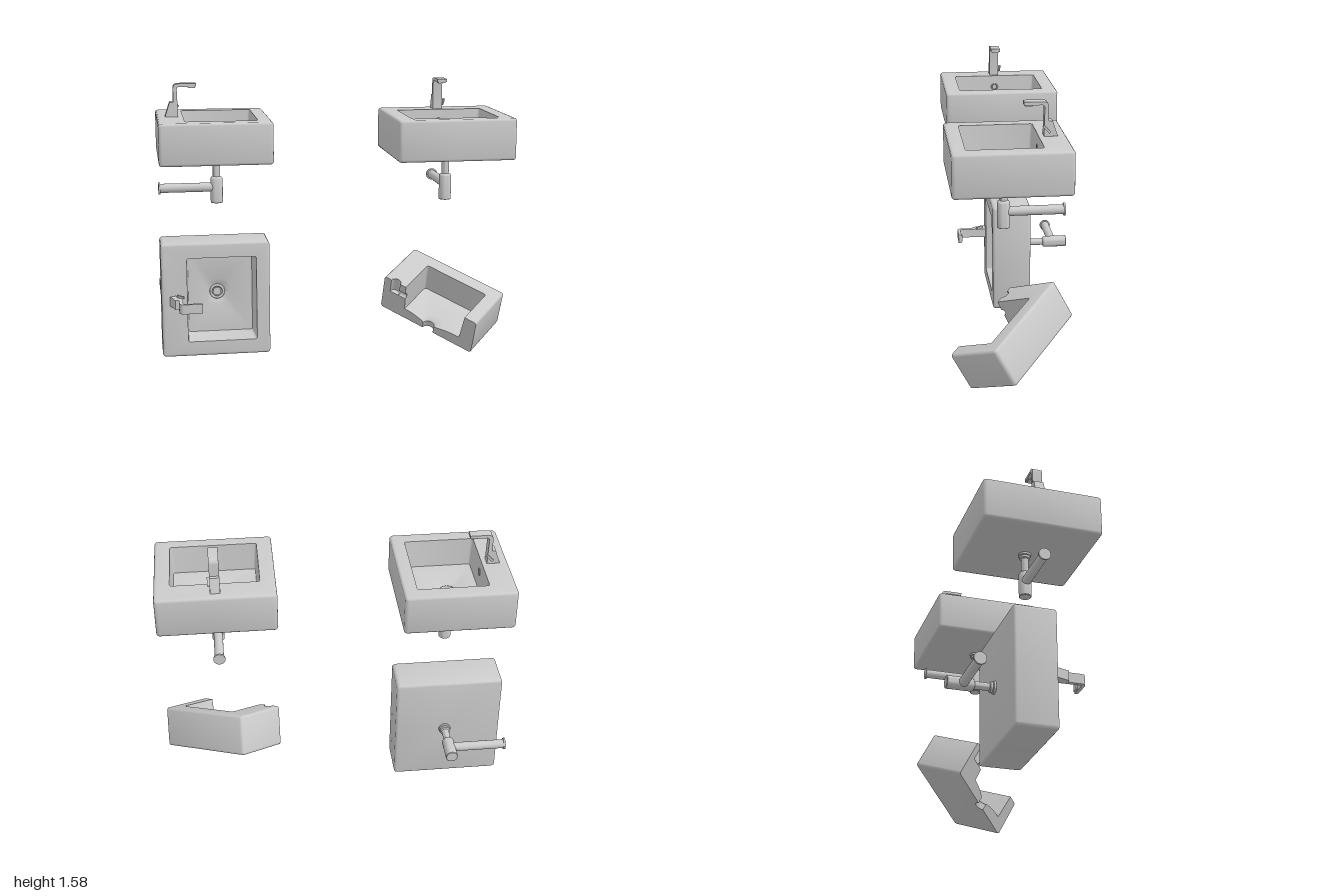
import * as THREE from 'three';
import { mergeGeometries, toCreasedNormals } from 'three/addons/utils/BufferGeometryUtils.js';

// Basin space: rim at y = 0, back at -z, symmetric in x
const HX = 0.335, ZB = -0.3125, ZF = 0.3125, BOTTOM = -0.235;
const BX = 0.248, BB = -0.165, BF = 0.235, FLOOR = -0.165, TAPER = 0.012;
const ZD = 0.018, EDGE = 0.015;                 // drain position, edge rounding
const ZT = -0.235, RT = 0.03;                   // tap hole
const YO = -0.07, RO = 0.018;                   // overflow hole
const PI = Math.PI;

const mat = new THREE.MeshStandardMaterial({ color: 0xcccccc });
const matOpen = new THREE.MeshStandardMaterial({ color: 0xcccccc, side: THREE.DoubleSide });

function add(parent, name, geo, material = mat) {
  const mesh = new THREE.Mesh(geo, material);
  mesh.name = name;
  parent.add(mesh);
  return mesh;
}

// Half outline of a rounded rectangle, from the back round +x to the front
function halfRect(hx, zb, zf, y, cr) {
  const pts = [new THREE.Vector3(0, y, zb)];
  for (let k = 0; k <= 3; k++) {
    const a = k / 3 * PI / 2;
    pts.push(new THREE.Vector3(hx - cr + cr * Math.sin(a), y, zb + cr - cr * Math.cos(a)));
  }
  pts.push(new THREE.Vector3(hx, y, ZD));
  for (let k = 0; k <= 3; k++) {
    const a = PI / 2 + k / 3 * PI / 2;
    pts.push(new THREE.Vector3(hx - cr + cr * Math.sin(a), y, zf - cr - cr * Math.cos(a)));
  }
  pts.push(new THREE.Vector3(0, y, zf));
  return pts;
}

function halfCircle(r, y) {
  return Array.from({ length: 11 }, (_, i) =>
    new THREE.Vector3(r * Math.sin(i / 10 * PI), y, ZD - r * Math.cos(i / 10 * PI)));
}

function fromTriangles(pos) {
  const g = new THREE.BufferGeometry();
  g.setAttribute('position', new THREE.Float32BufferAttribute(pos, 3));
  return g;
}

function loft(rings, first = 0) {
  const pos = [];
  for (let i = 0; i < rings.length - 1; i++) {
    for (let j = first; j < rings[i].length - 1; j++) {
      const a = rings[i][j], b = rings[i][j + 1], c = rings[i + 1][j], d = rings[i + 1][j + 1];
      for (const p of [a, c, b, b, c, d]) pos.push(p.x, p.y, p.z);
    }
  }
  return fromTriangles(pos);
}

function flat(points) {
  const g = new THREE.ShapeGeometry(new THREE.Shape(points.map(p => new THREE.Vector2(p[0], p[1])))).toNonIndexed();
  g.deleteAttribute('uv');
  g.deleteAttribute('normal');
  return g;
}

function mirrored(g) {
  const p = g.attributes.position, pos = [];
  for (let i = 0; i < p.count; i += 3)
    for (const k of [i, i + 2, i + 1]) pos.push(-p.getX(k), p.getY(k), p.getZ(k));
  return fromTriangles(pos);
}

// Sections of the ceramic: outside shell, bowl wall, sloping floor and drain hole
function basinRings() {
  const outer = [halfCircle(0.035, BOTTOM)];
  const edge = (inset, y) => outer.push(halfRect(HX - inset, ZB + inset, ZF - inset, y, 0.02 - inset));
  for (let k = 0; k <= 3; k++) {
    const a = k / 3 * PI / 2;
    edge(EDGE * (1 - Math.sin(a)), BOTTOM + EDGE * (1 - Math.cos(a)));
  }
  for (let k = 0; k <= 3; k++) {
    const a = k / 3 * PI / 2;
    edge(EDGE * (1 - Math.cos(a)), -EDGE * (1 - Math.sin(a)));
  }
  const wall = [halfRect(BX, BB, BF, 0, 0.012),
    halfRect(BX - TAPER, BB + TAPER, BF - TAPER, FLOOR, 0.012)];
  const hole = halfCircle(0.045, 0), floor = [];
  for (let k = 0; k <= 6; k++) {
    const t = k / 6;
    floor.push(wall[1].map((p, j) => {
      const q = p.clone().lerp(hole[j], t);
      q.y = FLOOR - 0.022 * t * t;
      return q;
    }));
  }
  floor.push(halfCircle(0.035, FLOOR - 0.03), halfCircle(0.035, BOTTOM));
  return { outer, wall, floor };
}

function halfShell({ outer, wall, floor }) {
  // Rim with half of the tap hole
  const rim = outer.at(-1).map(p => [p.x, -p.z]).concat([...wall[0]].reverse().map(p => [p.x, -p.z]));
  for (let k = 0; k <= 10; k++) rim.push([RT * Math.sin(k / 10 * PI), -(ZT + RT * Math.cos(k / 10 * PI))]);
  // Back wall of the bowl with half of the overflow hole
  const back = [[0, 0], [wall[0][1].x, 0], [wall[1][1].x, FLOOR], [0, FLOOR]];
  for (let k = 0; k <= 8; k++) back.push([RO * Math.sin(k / 8 * PI), YO - RO * Math.cos(k / 8 * PI)]);
  const backWall = flat(back), p = backWall.attributes.position;
  for (let i = 0; i < p.count; i++) p.setZ(i, BB + TAPER * p.getY(i) / FLOOR);
  return mergeGeometries([loft(outer), loft(wall, 1), loft(floor), flat(rim).rotateX(-PI / 2), backWall]);
}

function makeTap(parent) {
  const tap = new THREE.Group();
  tap.name = 'tap';
  parent.add(tap);
  const s = new THREE.Shape();
  s.moveTo(-0.265, 0);
  s.lineTo(-0.238, 0.082);
  s.lineTo(-0.218, 0.082);
  s.lineTo(-0.218, 0.155);
  s.quadraticCurveTo(-0.218, 0.185, -0.188, 0.185);
  s.lineTo(-0.088, 0.185);
  s.lineTo(-0.088, 0.167);
  s.lineTo(-0.182, 0.167);
  s.quadraticCurveTo(-0.196, 0.167, -0.196, 0.152);
  s.lineTo(-0.192, 0);
  const body = new THREE.ExtrudeGeometry(s, { depth: 0.055, bevelEnabled: false, curveSegments: 6 });
  add(tap, 'tapBody', toCreasedNormals(body.rotateY(-PI / 2).translate(0.0275, 0, 0), 0.6));
  add(tap, 'spoutOutlet', new THREE.BoxGeometry(0.04, 0.008, 0.04)).position.set(0, 0.164, -0.113);
  const lever = add(tap, 'lever', new THREE.BoxGeometry(0.014, 0.012, 0.05));
  lever.position.set(0.034, 0.04, -0.205);
  lever.rotation.x = -PI / 4;
}

function makeWaste(parent) {
  const waste = new THREE.Group();
  waste.name = 'waste';
  waste.position.z = ZD;
  parent.add(waste);
  // Drain ring and plug
  add(waste, 'drainRing', new THREE.TorusGeometry(0.037, 0.008, 8, 24).rotateX(PI / 2)).position.y = FLOOR - 0.02;
  add(waste, 'drainPlug', new THREE.CylinderGeometry(0.024, 0.024, 0.012, 24)).position.y = FLOOR - 0.024;
  add(waste, 'drainSeat', new THREE.CylinderGeometry(0.036, 0.036, 0.01, 24)).position.y = FLOOR - 0.04;
  // Collars, tail pipe and bottle trap
  const profile = [[0.035, -0.23], [0.035, -0.247], [0.029, -0.25], [0.029, -0.263], [0.021, -0.267],
    [0.021, -0.348], [0.03, -0.352], [0.035, -0.36], [0.035, -0.497], [0.032, -0.5], [0, -0.5]];
  const trap = new THREE.LatheGeometry(profile.reverse().map(q => new THREE.Vector2(...q)), 24);
  add(waste, 'bottleTrap', toCreasedNormals(trap, 0.6));
  // Outlet pipe to the wall
  const len = ZD - ZB;
  add(waste, 'outletPipe', new THREE.CylinderGeometry(0.026, 0.026, len, 24).rotateX(PI / 2)).position.set(0, -0.41, -len / 2);
  add(waste, 'wallFlange', new THREE.CylinderGeometry(0.034, 0.034, 0.01, 24).rotateX(PI / 2)).position.set(0, -0.41, -len + 0.005);
}

function makeSink(name) {
  const sink = new THREE.Group();
  sink.name = name;
  const half = halfShell(basinRings());
  add(sink, 'basin', toCreasedNormals(mergeGeometries([half, mirrored(half)]), 0.7));
  const zw = BB + TAPER * YO / FLOOR;
  add(sink, 'overflowRing', new THREE.TorusGeometry(RO, 0.004, 8, 20)).position.set(0, YO, zw);
  add(sink, 'overflowHole', new THREE.CircleGeometry(RO + 0.003, 20)).position.set(0, YO, zw - 0.012);
  makeTap(sink);
  makeWaste(sink);
  return sink;
}

// Basin sliced down the middle, showing its section
function makeCutBasin() {
  const cut = new THREE.Group();
  cut.name = 'cutBasin';
  const rings = basinRings(), { outer, wall, floor } = rings;
  add(cut, 'halfBasin', toCreasedNormals(halfShell(rings), 0.7));
  const wz = y => BB + TAPER * y / FLOOR;
  const low = YO - RO, high = YO + RO;
  const section = j => [outer.map(r => [r[j].z, r[j].y]), floor.slice(0, -1).map(r => [r[j].z, r[j].y])];
  const [bo, bf] = section(0), [fo, ff] = section(outer[0].length - 1);
  const caps = [
    [...bo, [ZT - RT, 0], [ZT - RT, low], [wz(low), low], ...bf],
    [[ZT + RT, 0], [BB, 0], [wz(high), high], [ZT + RT, high]],
    [...fo, [BF, 0], ...ff],
  ];
  const face = mergeGeometries(caps.map(c => flat(c).rotateY(-PI / 2)));
  face.computeVertexNormals();
  add(cut, 'cutFace', face, matOpen);
  // Tap hole and overflow channel
  add(cut, 'tapHole', new THREE.CylinderGeometry(RT, RT, -low, 12, 1, true, 0, PI), matOpen).position.set(0, low / 2, ZT);
  add(cut, 'tapHoleEnd', new THREE.CircleGeometry(RT, 12, -PI / 2, PI).rotateX(-PI / 2), matOpen).position.set(0, low, ZT);
  const z0 = ZT + RT, z1 = wz(YO);
  add(cut, 'overflowChannel', new THREE.CylinderGeometry(RO, RO, z1 - z0, 12, 1, true, 0, PI).rotateX(PI / 2), matOpen)
    .position.set(0, YO, (z0 + z1) / 2);
  return cut;
}

export function createModel() {
  const model = new THREE.Group();
  model.name = 'sinkSet';
  const place = (part, x, y, z, rx, ry) => {
    part.position.set(x, y, z);
    part.rotation.set(rx, ry, 0);
    model.add(part);
  };
  place(makeSink('sideFacingSink'), -0.6875, 1.395, 0.015, 0, PI / 2);
  place(makeSink('frontFacingSink'), 0.645, 1.395, 0.1, 0, 0);
  place(makeSink('uprightSink'), -0.6875, 0.335, 0.075, PI / 2, PI / 2);
  place(makeCutBasin(), 0.54, 0.322, 0.228, 28 * PI / 180, 47 * PI / 180);
  return model;
}
